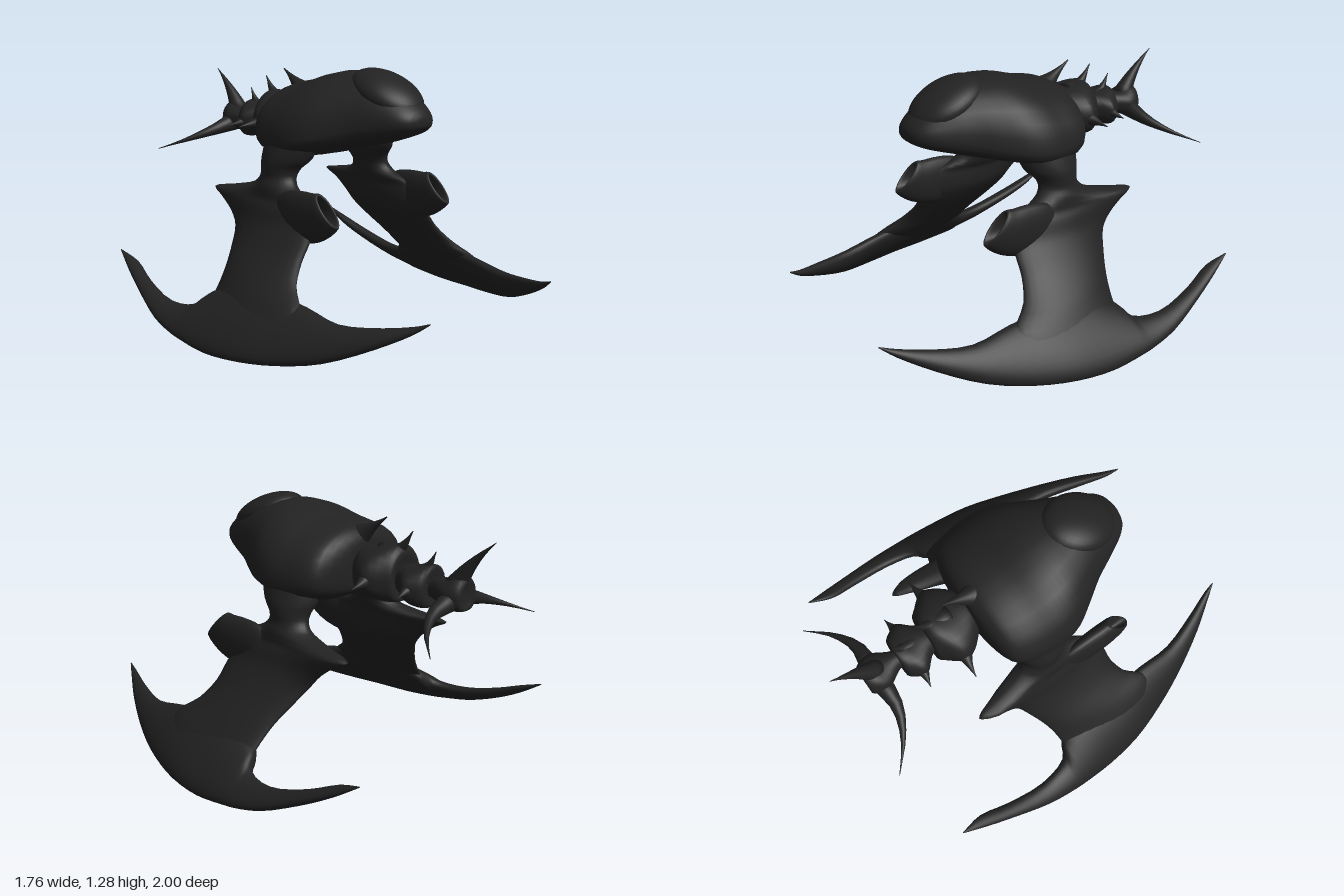
import * as THREE from 'three';

const hull = new THREE.MeshStandardMaterial({ color: 0x222222 });
hull.name = 'charcoal hull';
const V = (x, y, z) => new THREE.Vector3(x, y, z);
const N = 28;

// Ring of N points around centre c spanned by half-axes u and v; p > 1 sharpens the u ends
function ring(c, u, v, p = 1) {
  return Array.from({ length: N }, (_, i) => {
    const a = (i / N) * Math.PI * 2, s = Math.sin(a);
    return c.clone().addScaledVector(u, Math.cos(a)).addScaledVector(v, Math.sign(s) * Math.abs(s) ** p);
  });
}

// Closed skin over rings, smoothed lengthwise with `sub` steps per span
function loft(name, rings, sub = 3) {
  const rows = (rings.length - 1) * sub + 1, pos = [], idx = [];
  const lines = rings[0].map((_, i) => new THREE.CatmullRomCurve3(rings.map(r => r[i])));
  for (let j = 0; j < rows; j++)
    for (let i = 0; i < N; i++) pos.push(...lines[i].getPoint(j / (rows - 1)).toArray());
  for (const r of [rings[0], rings[rings.length - 1]])
    pos.push(...r.reduce((a, b) => a.add(b), V(0, 0, 0)).divideScalar(N).toArray());
  const a = rows * N, b = a + 1;
  for (let i = 0; i < N; i++) {
    const k = (i + 1) % N;
    for (let j = 0; j < rows - 1; j++) {
      const o = j * N, q = o + N;
      idx.push(o + i, o + k, q + i, o + k, q + k, q + i);
    }
    idx.push(a, k, i, b, (rows - 1) * N + i, (rows - 1) * N + k);
  }
  // Turn the faces outward whichever way the rings run
  let vol = 0;
  const P = n => V(pos[n * 3], pos[n * 3 + 1], pos[n * 3 + 2]);
  for (let t = 0; t < idx.length; t += 3) vol += P(idx[t]).dot(P(idx[t + 1]).cross(P(idx[t + 2])));
  if (vol < 0) idx.reverse();
  const g = new THREE.BufferGeometry();
  g.setAttribute('position', new THREE.Float32BufferAttribute(pos, 3));
  g.setIndex(idx);
  g.computeVertexNormals();
  const m = new THREE.Mesh(g, hull);
  m.name = name;
  return m;
}

// Curved tapering spike
function horn(name, pts, r) {
  const curve = new THREE.CatmullRomCurve3(pts.map(p => V(...p))), n = 7;
  return loft(name, Array.from({ length: n + 1 }, (_, i) => {
    const t = i / n, d = curve.getTangent(t);
    const u = V(-d.y, d.x, 0.001).cross(d).normalize(), v = d.clone().cross(u).normalize();
    const k = r * (0.03 + 0.97 * (1 - t) ** 1.4);
    return ring(curve.getPoint(t), u.multiplyScalar(k), v.multiplyScalar(k));
  }), 1);
}

// Hull-like skin from stations [z, halfWidth, midY, topY, bottomY]
function shell(name, stations) {
  return loft(name, stations.map(([z, w, mid, top, bot]) => Array.from({ length: N }, (_, i) => {
    const a = (i / N) * Math.PI * 2, c = Math.cos(a), s = Math.sin(a);
    const e = s < 0 ? 0.75 : 1;
    return V(w * Math.sign(c) * Math.abs(c) ** e, mid + (s > 0 ? (top - mid) * s : -(mid - bot) * Math.abs(s) ** e), z);
  })));
}

function wing(s) {
  const g = new THREE.Group();
  g.name = s > 0 ? 'leftWing' : 'rightWing';
  // Strut and wing panel: [y, x, frontZ, backZ, half thickness]
  const panel = [
    [0.15, 0.715, 0.38, -0.17, 0.06], [0.25, 0.625, 0.4, -0.185, 0.075], [0.33, 0.555, 0.3, -0.21, 0.08],
    [0.42, 0.475, 0.25, -0.26, 0.08], [0.5, 0.415, 0.24, -0.31, 0.08], [0.56, 0.38, 0.22, -0.36, 0.08],
    [0.62, 0.365, 0.2, -0.44, 0.075], [0.658, 0.355, 0.17, -0.51, 0.07], [0.685, 0.345, 0.13, -0.38, 0.075],
    [0.72, 0.335, 0.05, -0.235, 0.08], [0.76, 0.32, 0.02, -0.2, 0.08], [0.8, 0.305, 0.03, -0.2, 0.095],
    [0.85, 0.28, 0.08, -0.22, 0.115], [0.95, 0.26, 0.12, -0.22, 0.1],
  ];
  g.add(loft('wingPanel', panel.map(([y, x, f, b, h]) => {
    const r = ring(V(s * x, y, (f + b) / 2), V(0, 0, (f - b) / 2), V(h, 0, 0), 1.25);
    r.forEach(p => { if (p.z < -0.2 && y > 0.5) p.x += s * Math.min(0.035, (-0.2 - p.z) * 0.15); });
    return r;
  })));
  // Crescent blade: [outer xyz, inner xyz, half thickness]
  const blade = [
    [0.432, 0.3, 1.0, 0.428, 0.305, 1.0, 0.003], [0.475, 0.255, 0.94, 0.443, 0.28, 0.94, 0.014],
    [0.57, 0.175, 0.8, 0.5, 0.25, 0.8, 0.03], [0.68, 0.085, 0.6, 0.565, 0.232, 0.6, 0.042],
    [0.77, 0.042, 0.4, 0.575, 0.265, 0.4, 0.048], [0.835, 0.022, 0.2, 0.59, 0.28, 0.23, 0.052],
    [0.865, 0.015, 0, 0.6, 0.28, 0, 0.052], [0.873, 0.035, -0.18, 0.64, 0.22, -0.17, 0.048],
    [0.872, 0.045, -0.25, 0.72, 0.16, -0.22, 0.038], [0.86, 0.08, -0.4, 0.76, 0.145, -0.38, 0.033],
    [0.82, 0.165, -0.6, 0.745, 0.2, -0.6, 0.028], [0.785, 0.24, -0.75, 0.722, 0.265, -0.75, 0.02],
    [0.752, 0.308, -0.87, 0.748, 0.312, -0.87, 0.003],
  ];
  g.add(loft('crescentBlade', blade.map(([a, b, c, d, e, f, t]) => {
    const o = V(s * a, b, c), u = o.clone().sub(V(s * d, e, f)).multiplyScalar(0.5);
    return ring(o.sub(u), u, V(-u.y, u.x, 0).setLength(t), 0.9);
  })));
  // Raked intake pod with a recessed mouth: [z, y, half width, half height, rake]
  const pod = [
    [-0.05, 0.6, 0.02, 0.06, 0], [0.06, 0.6, 0.045, 0.115, 0.1], [0.17, 0.605, 0.052, 0.125, 0.1],
    [0.27, 0.625, 0.052, 0.105, 0.4], [0.33, 0.66, 0.043, 0.074, 0.9], [0.336, 0.662, 0.034, 0.066, 0.95],
    [0.32, 0.66, 0.028, 0.056, 0.9], [0.24, 0.645, 0.02, 0.035, 0.6],
  ];
  g.add(loft('intakePod', pod.map(([z, y, w, h, k]) => ring(V(s * 0.385, y, z), V(0, h, -h * k), V(w, 0, 0)))));
  return g;
}

export function createModel() {
  const model = new THREE.Group();
  model.name = 'craft';

  model.add(shell('body', [
    [0.562, 0.035, 1.055, 1.075, 1.035], [0.545, 0.085, 1.055, 1.105, 1.015], [0.5, 0.13, 1.05, 1.145, 0.99],
    [0.4, 0.185, 1.03, 1.213, 0.955], [0.3, 0.235, 1.01, 1.25, 0.925], [0.2, 0.3, 0.98, 1.265, 0.9],
    [0.1, 0.36, 0.96, 1.268, 0.875], [0, 0.385, 0.95, 1.25, 0.85], [-0.1, 0.38, 0.95, 1.22, 0.84],
    [-0.2, 0.36, 0.96, 1.2, 0.84], [-0.26, 0.32, 0.98, 1.18, 0.86], [-0.3, 0.2, 1.0, 1.14, 0.89],
    [-0.31, 0.08, 1.0, 1.08, 0.94],
  ]));

  // Canopy bulge over the nose
  const canopy = new THREE.Mesh(new THREE.SphereGeometry(1, 32, 20), hull);
  canopy.name = 'canopy';
  canopy.scale.set(0.16, 0.088, 0.2);
  canopy.position.set(0, 1.172, 0.335);
  canopy.rotation.x = 0.42;
  model.add(canopy);

  // Tail: three shrinking, flared segments
  model.add(shell('tailSegment1', [
    [-0.27, 0.08, 1.0, 1.08, 0.9], [-0.31, 0.12, 1.0, 1.1, 0.88], [-0.37, 0.175, 0.99, 1.11, 0.875],
    [-0.43, 0.195, 0.99, 1.12, 0.87], [-0.5, 0.14, 0.98, 1.13, 0.86], [-0.53, 0.11, 0.98, 1.1, 0.87],
    [-0.52, 0.06, 0.98, 1.04, 0.92],
  ]));
  model.add(shell('tailSegment2', [
    [-0.5, 0.06, 0.98, 1.03, 0.92], [-0.55, 0.085, 0.98, 1.045, 0.9], [-0.61, 0.14, 0.97, 1.05, 0.88],
    [-0.65, 0.125, 0.96, 1.06, 0.865], [-0.69, 0.09, 0.96, 1.06, 0.87], [-0.685, 0.04, 0.96, 1.0, 0.92],
  ]));
  model.add(shell('tailSegment3', [
    [-0.67, 0.04, 0.96, 1.0, 0.92], [-0.71, 0.05, 0.96, 1.01, 0.91], [-0.78, 0.09, 0.96, 1.02, 0.89],
    [-0.83, 0.09, 0.95, 1.04, 0.88], [-0.87, 0.065, 0.95, 1.03, 0.885], [-0.86, 0.02, 0.95, 0.98, 0.92],
  ]));

  // Dorsal spikes
  model.add(horn('bodySpike', [[0, 1.11, -0.22], [0, 1.165, -0.3], [0, 1.245, -0.415]], 0.09));
  model.add(horn('tailSpike1', [[0, 1.06, -0.42], [0, 1.11, -0.5], [0, 1.2, -0.565]], 0.07));
  model.add(horn('tailSpike2', [[0, 1.0, -0.6], [0, 1.05, -0.655], [0, 1.125, -0.695]], 0.055));
  model.add(horn('tailFin', [[0, 0.98, -0.8], [0, 1.07, -0.86], [0, 1.15, -0.93], [0, 1.212, -0.998]], 0.055));

  // Paired parts
  for (const s of [1, -1]) {
    model.add(wing(s));
    model.add(horn('sideSpike1', [[s * 0.12, 0.98, -0.41], [s * 0.2, 0.97, -0.43], [s * 0.285, 0.96, -0.44]], 0.06));
    model.add(horn('sideSpike2', [[s * 0.07, 0.96, -0.62], [s * 0.14, 0.95, -0.625], [s * 0.2, 0.94, -0.635]], 0.05));
    model.add(horn('tailHorn', [[s * 0.04, 0.93, -0.81], [s * 0.18, 0.895, -0.81], [s * 0.31, 0.85, -0.87], [s * 0.43, 0.8, -0.975]], 0.05));
  }
  return model;
}
